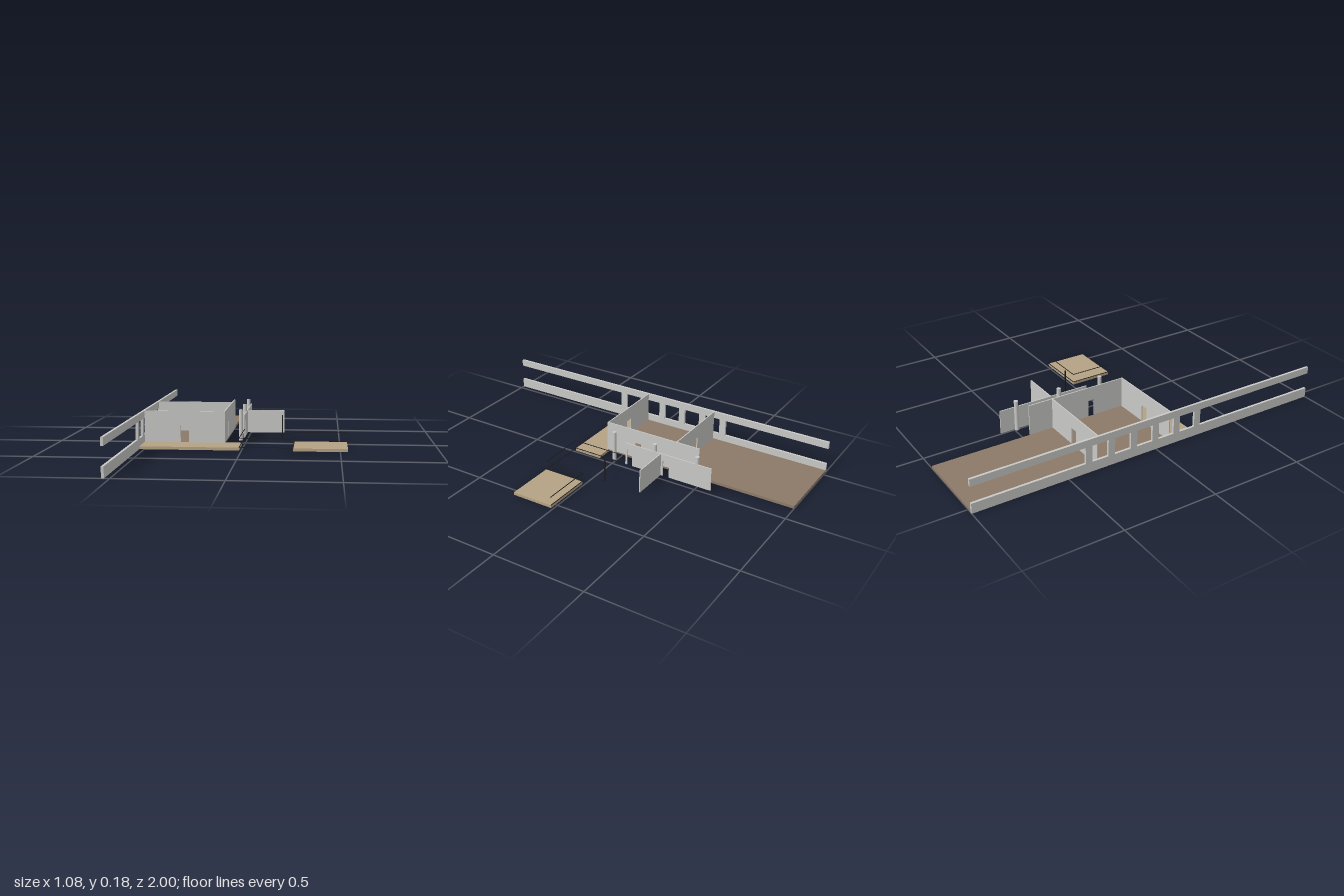
import * as THREE from 'three';

const mat = (name, color) => {
  const m = new THREE.MeshStandardMaterial({ color });
  m.name = name;
  return m;
};

export function createModel() {
  const model = new THREE.Group();
  model.name = 'pavilion';
  const concrete = mat('concrete', 0xc9c9c7);
  const floorBrown = mat('brown floor', 0x8c7a69);
  const deckTan = mat('tan deck', 0xb5a284);
  const steel = mat('black steel', 0x1c1c1c);

  // Box given by its minimum and maximum corners
  const box = (name, m, x0, x1, y0, y1, z0, z1, parent = model) => {
    const mesh = new THREE.Mesh(new THREE.BoxGeometry(x1 - x0, y1 - y0, z1 - z0), m);
    mesh.position.set((x0 + x1) / 2, (y0 + y1) / 2, (z0 + z1) / 2);
    mesh.name = name;
    parent.add(mesh);
    return mesh;
  };

  // Wall panel from u0 to u1 with doorways [d0, d1] cut up from its base
  const GROUND = 0.015, DOOR = 0.105, T = 0.006;
  const wall = (name, u0, u1, top, doors, place) => {
    const s = new THREE.Shape();
    s.moveTo(u0, GROUND);
    for (const [d0, d1] of doors) {
      s.lineTo(d0, GROUND);
      s.lineTo(d0, DOOR);
      s.lineTo(d1, DOOR);
      s.lineTo(d1, GROUND);
    }
    s.lineTo(u1, GROUND);
    s.lineTo(u1, top);
    s.lineTo(u0, top);
    s.closePath();
    const mesh = new THREE.Mesh(
      new THREE.ExtrudeGeometry(s, { depth: T, bevelEnabled: false }), concrete);
    mesh.name = name;
    place(mesh);
    model.add(mesh);
  };
  const acrossAt = (z) => (m) => { m.position.z = z; };
  // Turned so that the panel runs along -z: u is the negative of z
  const alongAt = (x) => (m) => { m.rotation.y = Math.PI / 2; m.position.x = x; };

  // Slabs
  box('houseFloor', floorBrown, -0.526, -0.106, 0, GROUND, -1, 0.086);
  box('terrace', deckTan, -0.526, -0.012, 0, GROUND, 0.086, 0.243);
  box('sideDeck', deckTan, 0.262, 0.538, 0, GROUND, 0.012, 0.243);

  // Long boundary wall: two beams joined by piers that frame five windows
  const boundary = new THREE.Group();
  boundary.name = 'boundaryWall';
  model.add(boundary);
  box('lowerBeam', concrete, -0.538, -0.525, 0, 0.053, -1, 1, boundary);
  box('upperBeam', concrete, -0.538, -0.525, 0.142, 0.18, -1, 1, boundary);
  for (let i = 0; i < 6; i++) {
    const z = 0.27 - i * 0.128;
    box('windowPier', concrete, -0.538, -0.525, 0.053, 0.142, z - 0.037, z, boundary);
  }

  // House walls
  const houseDoor = [[-0.334, -0.291]];
  wall('frontWall', -0.525, -0.1, 0.18, houseDoor, acrossAt(0.086));
  wall('innerWall', -0.525, -0.106, 0.18, houseDoor, acrossAt(-0.336));
  wall('sideWall', -0.086, 0.468, 0.18, [[0.086, 0.12]], alongAt(-0.106));

  // Lower garden walls
  wall('gardenWall', 0.077, 0.585, 0.142, [[0.087, 0.12], [0.305, 0.342]], alongAt(-0.017));
  wall('crossWall', -0.012, 0.195, 0.142, [], acrossAt(-0.294));

  // Round columns
  for (const z of [0, -0.249, -0.497]) {
    const column = new THREE.Mesh(
      new THREE.CylinderGeometry(0.011, 0.011, 0.18 - GROUND, 24), concrete);
    column.position.set(-0.024, (0.18 + GROUND) / 2, z);
    column.name = 'column';
    model.add(column);
  }

  // Free-standing steel post
  box('steelPost', steel, 0.191, 0.197, GROUND, 0.142, -0.084, -0.078);

  // Two thin rails following the edge of the yard
  const path = [[-0.012, -0.077], [-0.012, 0.242], [0.262, 0.242], [0.262, 0.012], [0.538, 0.012]];
  const r = 0.0014;
  for (const y of [0.0165, 0.063]) {
    for (let i = 0; i < path.length - 1; i++) {
      const [ax, az] = path[i], [bx, bz] = path[i + 1];
      box('rail', steel, Math.min(ax, bx) - r, Math.max(ax, bx) + r, y - r, y + r,
        Math.min(az, bz) - r, Math.max(az, bz) + r);
    }
  }
  return model;
}
